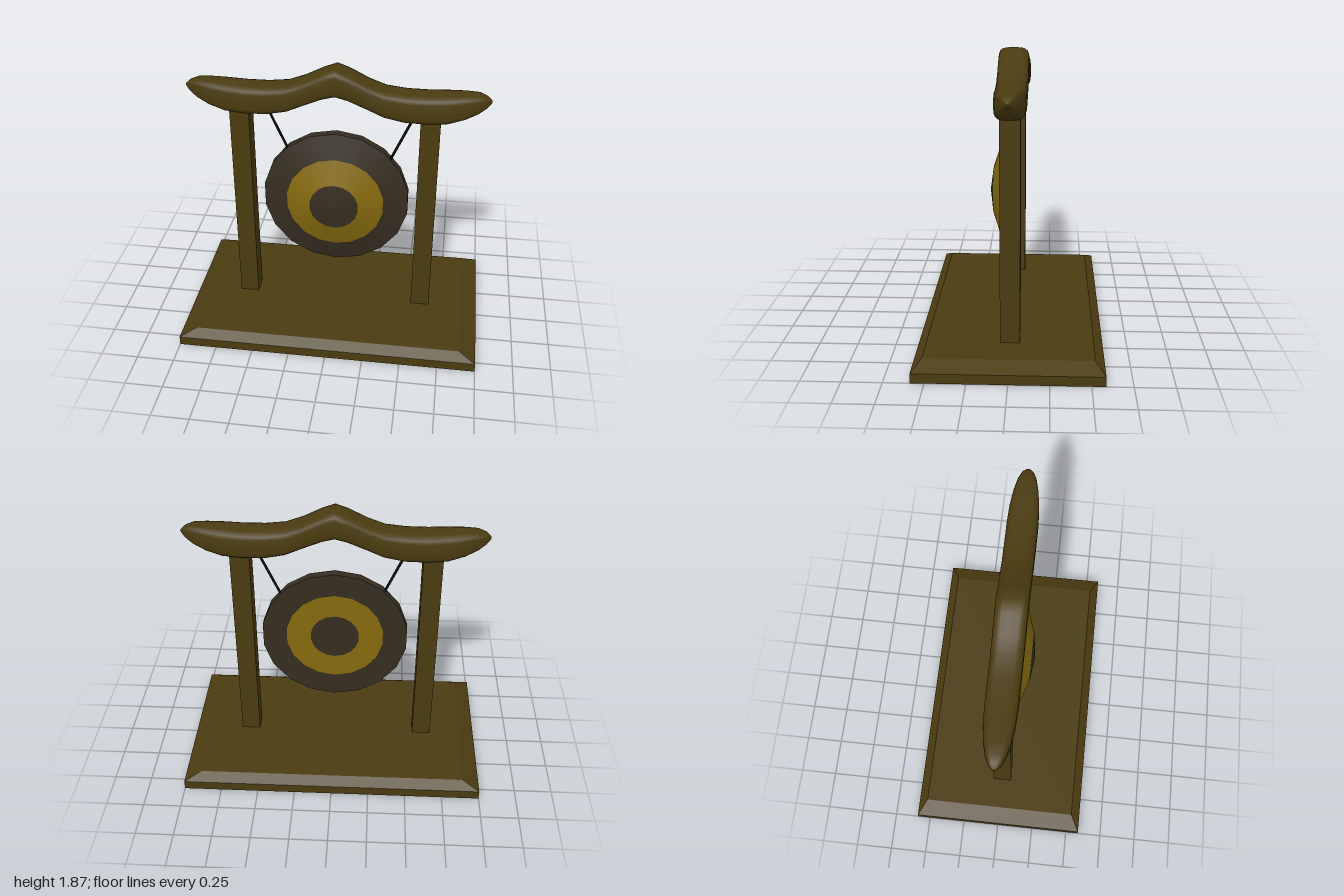
import * as THREE from 'three';

const WOOD = 0x4a3b10, GOLD = 0x84690e, BRONZE = 0x352d20, CORD = 0x0a0a08;

function part(parent, name, geometry, color, flat = false) {
  const material = new THREE.MeshStandardMaterial({ color, flatShading: flat });
  const mesh = new THREE.Mesh(geometry, material);
  mesh.name = name;
  parent.add(mesh);
  return mesh;
}

// Slab whose upper edges slope inwards
function baseGeometry() {
  const geo = new THREE.BoxGeometry(2, 0.11, 1.17, 1, 2, 1);
  const p = geo.attributes.position;
  for (let i = 0; i < p.count; i++) {
    const y = p.getY(i);
    if (y > 0.01) p.setXYZ(i, Math.sign(p.getX(i)) * 0.89, 0.11, Math.sign(p.getZ(i)) * 0.525);
    else p.setY(i, y < -0.01 ? 0 : 0.063);
  }
  geo.computeVertexNormals();
  return geo;
}

// Curved beam lofted from rounded-square sections: [x, bottom, top, half depth]
function beamGeometry() {
  const half = [
    [0, 1.68, 1.87, 0.1], [0.08, 1.66, 1.84, 0.1], [0.2, 1.61, 1.778, 0.1],
    [0.31, 1.56, 1.737, 0.1], [0.44, 1.533, 1.723, 0.1], [0.58, 1.53, 1.722, 0.1],
    [0.71, 1.54, 1.73, 0.094], [0.81, 1.572, 1.735, 0.08], [0.89, 1.612, 1.735, 0.06],
    [0.94, 1.65, 1.718, 0.037], [0.968, 1.68, 1.695, 0.01]
  ];
  const sections = [...half.slice(1).reverse().map(([x, ...r]) => [-x, ...r]), ...half];
  const sides = 20, pos = [], index = [];
  const soften = v => Math.sign(v) * Math.pow(Math.abs(v), 0.55);
  for (const [x, lo, hi, d] of sections) {
    for (let j = 0; j < sides; j++) {
      const a = j / sides * Math.PI * 2;
      pos.push(x, (lo + hi) / 2 + soften(Math.sin(a)) * (hi - lo) / 2, soften(Math.cos(a)) * d);
    }
  }
  for (let i = 0; i < sections.length - 1; i++) {
    for (let j = 0; j < sides; j++) {
      const k = (j + 1) % sides;
      const a = i * sides + j, b = i * sides + k, c = a + sides, d = b + sides;
      index.push(a, c, b, b, c, d);
    }
  }
  // End caps
  const last = (sections.length - 1) * sides;
  for (let j = 1; j < sides - 1; j++) {
    index.push(0, j, j + 1, last, last + j + 1, last + j);
  }
  const geo = new THREE.BufferGeometry();
  geo.setAttribute('position', new THREE.Float32BufferAttribute(pos, 3));
  geo.setIndex(index);
  geo.computeVertexNormals();
  return geo;
}

// Ring or disc of the gong, from [radius, z] points listed back to front
function gongPart(parent, name, points, color, flat) {
  const profile = points.map(([r, z]) => new THREE.Vector2(r, z));
  const geo = new THREE.LatheGeometry(profile, 18);
  geo.rotateX(Math.PI / 2);
  return part(parent, name, geo, color, flat);
}

function cord(parent, name, from, to) {
  const a = new THREE.Vector3(...from), b = new THREE.Vector3(...to);
  const mesh = part(parent, name, new THREE.CylinderGeometry(0.009, 0.009, a.distanceTo(b), 8), CORD);
  mesh.position.copy(a).add(b).multiplyScalar(0.5);
  mesh.quaternion.setFromUnitVectors(new THREE.Vector3(0, 1, 0), b.sub(a).normalize());
}

export function createModel() {
  const model = new THREE.Group();
  model.name = 'gongOnStand';

  // Stand
  part(model, 'base', baseGeometry(), WOOD, true);
  for (const [name, x] of [['rightPost', -0.62], ['leftPost', 0.602]]) {
    part(model, name, new THREE.BoxGeometry(0.126, 1.52, 0.126), WOOD).position.set(x, 0.85, 0);
  }
  part(model, 'beam', beamGeometry(), WOOD);

  // Gong: flat back, thin rim and domed front
  const gong = new THREE.Group();
  gong.name = 'gong';
  gong.position.y = 0.917;
  model.add(gong);
  const R = 0.488, G = 0.326, B = 0.163, back = -0.03;
  gongPart(gong, 'backBoss', [[0, back], [B, back]], BRONZE);
  gongPart(gong, 'backGoldRing', [[B, back], [G, back]], GOLD);
  gongPart(gong, 'backOuterRing', [[G, back], [R, back]], BRONZE);
  gongPart(gong, 'rim', [[R, back], [R, 0.027]], BRONZE, true);
  gongPart(gong, 'frontOuterRing', [[R, 0.027], [G, 0.079]], BRONZE);
  gongPart(gong, 'frontGoldRing', [[G, 0.079], [B, 0.134]], GOLD);
  gongPart(gong, 'frontBoss', [[B, 0.134], [0, 0.156]], BRONZE);

  // Hanging cords
  cord(model, 'rightCord', [-0.45, 1.56, 0], [-0.31, 1.24, 0]);
  cord(model, 'leftCord', [0.5, 1.56, 0], [0.35, 1.22, 0]);
  return model;
}
